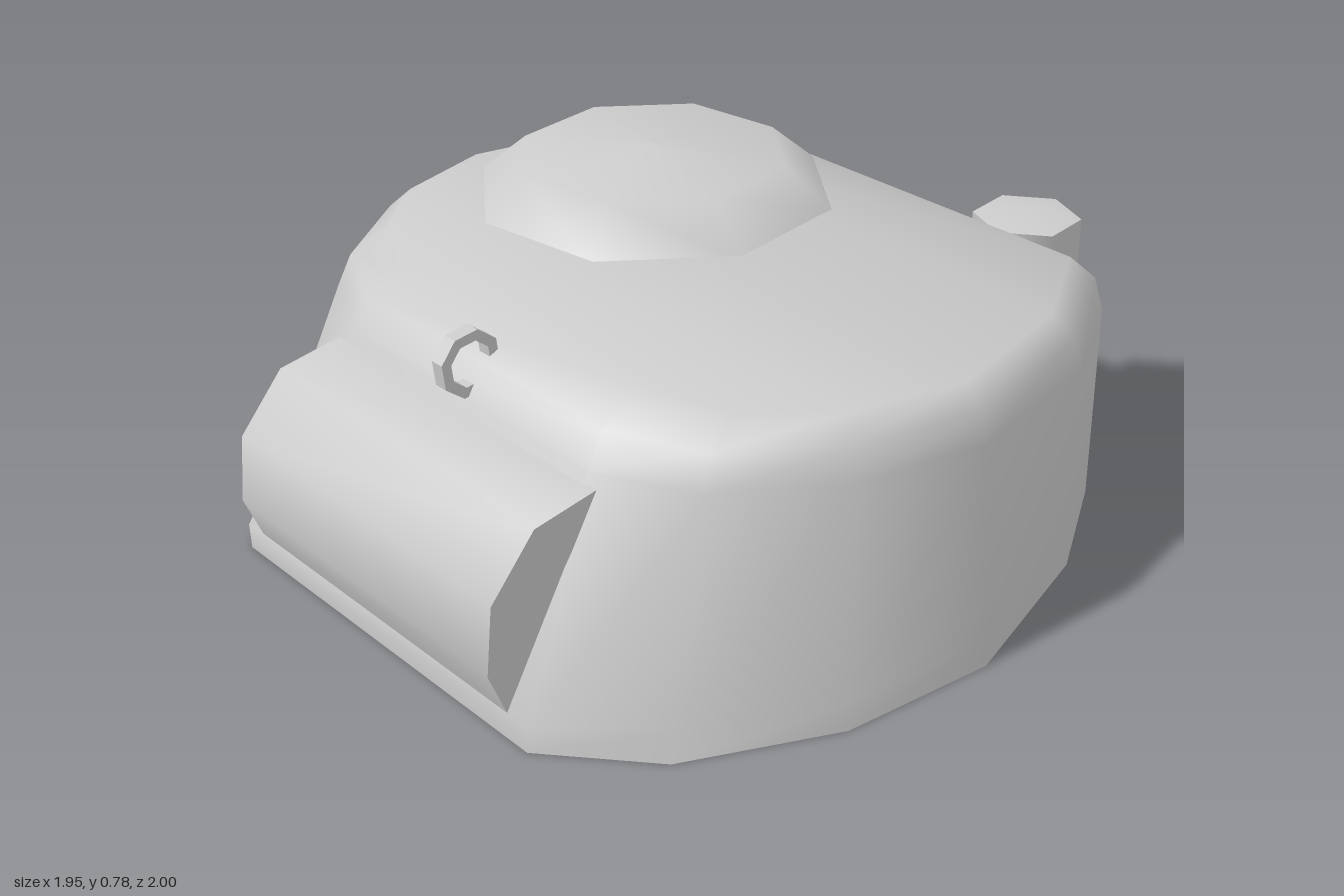
import * as THREE from 'three';
import { toCreasedNormals } from 'three/addons/utils/BufferGeometryUtils.js';

const material = new THREE.MeshStandardMaterial({ color: 0xcccccc });
const rad = THREE.MathUtils.degToRad;

function part(name, geometry) {
  const mesh = new THREE.Mesh(geometry, material);
  mesh.name = name;
  return mesh;
}

// Half outlines (x, y, z) running from the front centre round the left side to the back
const base = [[0.53, 0, 0.955], [0.76, 0, 0.76], [0.93, 0, 0.41], [0.975, 0, 0.02],
  [0.84, 0, -0.43], [0.66, 0, -0.73], [0.49, 0.05, -0.93], [0.42, 0.065, -0.985], [0.31, 0.07, -1]];
const shoulder = [[0.43, 0.53, 0.69], [0.66, 0.53, 0.57], [0.84, 0.53, 0.31], [0.915, 0.53, 0],
  [0.835, 0.53, -0.42], [0.655, 0.51, -0.73], [0.488, 0.41, -0.93], [0.42, 0.37, -0.985], [0.31, 0.36, -1]];
const roof = [[0.4, 0.655, 0.53], [0.61, 0.655, 0.46], [0.78, 0.655, 0.26], [0.85, 0.655, 0],
  [0.77, 0.655, -0.38], [0.6, 0.65, -0.66], [0.45, 0.5, -0.86], [0.39, 0.455, -0.915], [0.29, 0.44, -0.935]];

const blend = (a, b, tPlan, tHeight) => a.map((p, i) => p.map((v, k) =>
  v + (b[i][k] - v) * (k === 1 ? tHeight : tPlan)));

function bodyGeometry() {
  // Low ring: a short upright lip at the nose, following the wall elsewhere
  const low = blend(base, shoulder, 0.12, 0.12);
  low[0] = [0.53, 0.065, 0.957];
  const bevel = blend(shoulder, roof, 0.28, 0.6);
  const rings = [base, low, shoulder, bevel, roof].map(half =>
    [...half, ...half.map(([x, y, z]) => [-x, y, z]).reverse()]);
  const n = rings[0].length;
  const index = [];
  const quad = (a, b, c, d) => index.push(a, b, c, a, c, d);
  // Walls
  for (let r = 0; r < rings.length - 1; r++) {
    for (let i = 0; i < n; i++) {
      const j = (i + 1) % n;
      quad(r * n + i, r * n + j, (r + 1) * n + j, (r + 1) * n + i);
    }
  }
  // Floor and roof, bridged from side to side
  const top = (rings.length - 1) * n;
  for (let i = 0; i < n / 2 - 1; i++) {
    const l = i, l2 = i + 1, r = n - 1 - i, r2 = n - 2 - i;
    quad(top + r, top + l, top + l2, top + r2);
    quad(l, r, r2, l2);
  }
  const geometry = new THREE.BufferGeometry();
  geometry.setAttribute('position', new THREE.Float32BufferAttribute(rings.flat(2), 3));
  geometry.setIndex(index);
  return toCreasedNormals(geometry, rad(58));
}

// Side profile (z, y) extruded across the model
function acrossX(shape, width) {
  const geometry = new THREE.ExtrudeGeometry(shape, { depth: width, bevelEnabled: false });
  geometry.rotateY(-Math.PI / 2);
  geometry.translate(width / 2, 0, 0);
  return geometry;
}

const lathe = (profile, sides, firstCorner) => new THREE.LatheGeometry(
  profile.map(([r, y]) => new THREE.Vector2(r, y)), sides, rad(90 - firstCorner));

export function createModel() {
  const model = new THREE.Group();
  model.name = 'turret';
  model.add(part('turretBody', bodyGeometry()));

  // Curved shield across the sloping front
  const shield = new THREE.Shape([[0.7, 0.505], [0.865, 0.48], [0.983, 0.345], [1, 0.18], [0.955, 0.067]]
    .map(p => new THREE.Vector2(...p)));
  model.add(part('gunShield', toCreasedNormals(acrossX(shield, 0.935), rad(55))));

  // Lifting ring above the shield
  const octagon = r => Array.from({ length: 8 }, (_, i) => {
    const a = (i + 0.35) * Math.PI / 4;
    return new THREE.Vector2(0.675 + r * Math.cos(a), 0.613 + r * Math.sin(a));
  });
  const ring = new THREE.Shape(octagon(0.081));
  ring.holes.push(new THREE.Path(octagon(0.055)));
  model.add(part('liftingRing', acrossX(ring, 0.036)));

  // Low eight-sided cupola on the right of the roof
  const cupola = part('cupola', lathe([[0.475, 0.645], [0.345, 0.755], [0, 0.777]], 8, 14.5));
  cupola.position.set(-0.37, 0, -0.2);
  model.add(cupola);

  // Six-sided ventilator on the sloping rear
  const vent = part('ventilator', toCreasedNormals(
    lathe([[0.135, 0.37], [0.135, 0.62], [0, 0.64]], 6, 23), rad(65)));
  vent.position.set(0.333, 0, -0.826);
  model.add(vent);
  return model;
}
